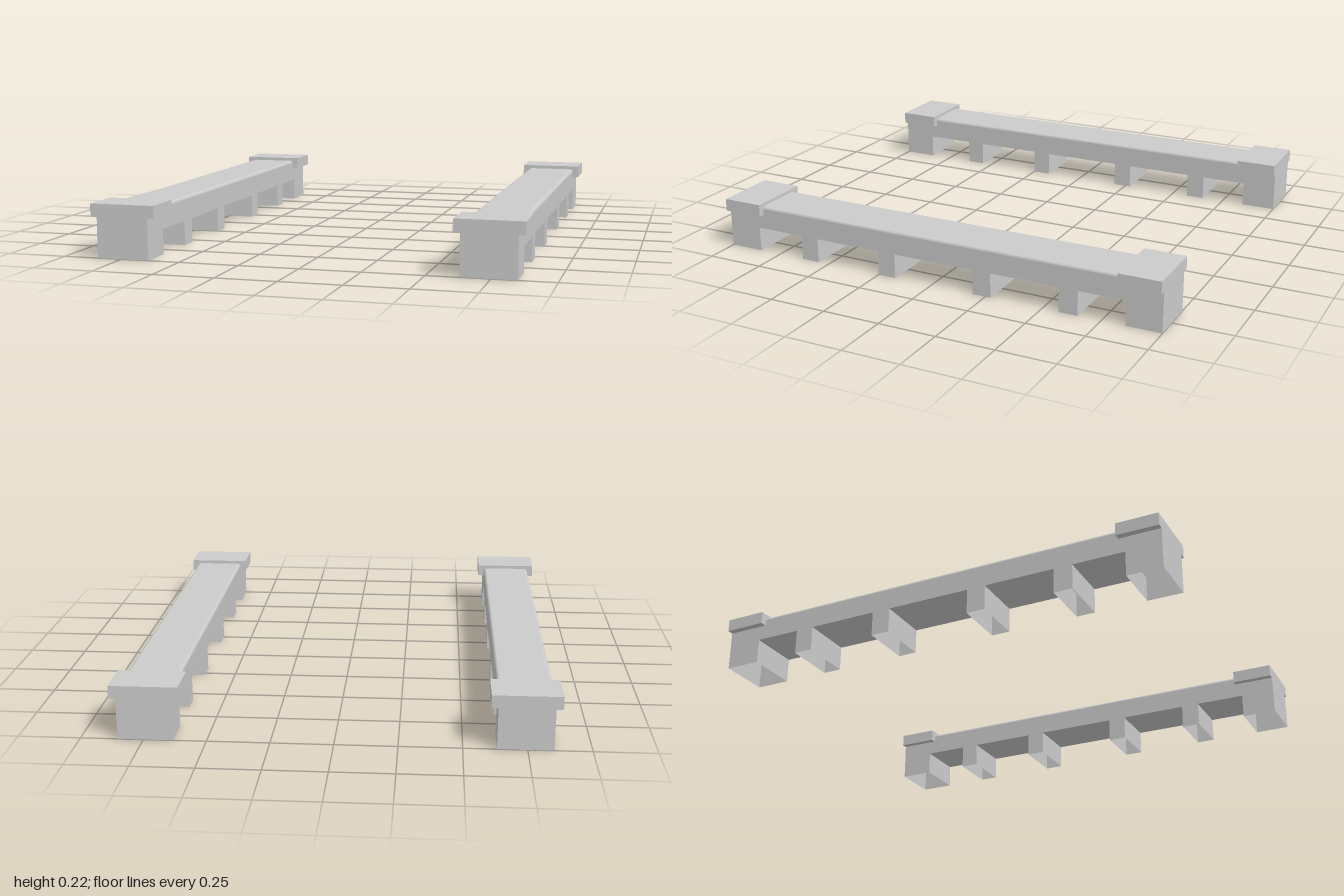
import * as THREE from 'three';

const grey = new THREE.MeshStandardMaterial({ color: 0xcccccc });
const shellGrey = new THREE.MeshStandardMaterial({ color: 0xcccccc, side: THREE.DoubleSide });

const HALF = 0.11;     // half width of the beam
const UNDER = 0.105;   // height of the beam's underside
const TOP = 0.207;     // height of the beam's top
const ROUND = 0.014;   // radius of its upper edges

function add(parent, name, geometry, material, x, y, z) {
  const mesh = new THREE.Mesh(geometry, material);
  mesh.name = name;
  mesh.position.set(x, y, z);
  parent.add(mesh);
  return mesh;
}

// Box walls without top and bottom
function openBox(w, h, d) {
  const box = new THREE.BoxGeometry(w, h, d);
  const index = Array.from(box.index.array);
  box.setIndex([...index.slice(0, 12), ...index.slice(24, 36)]);
  box.clearGroups();
  return box;
}

// Outline of the beam: upright sides, rounded upper edges; smooth normals per point
function beamOutline() {
  const points = [[HALF, UNDER, 0]];
  for (const [cx, start] of [[HALF - ROUND, 0], [ROUND - HALF, Math.PI / 2]]) {
    for (let i = 0; i <= 6; i++) {
      const a = start + (i / 6) * Math.PI / 2;
      points.push([cx + ROUND * Math.cos(a), TOP - ROUND + ROUND * Math.sin(a), a]);
    }
  }
  points.push([-HALF, UNDER, Math.PI]);
  return points;
}

// Sweep the outline along z, leaving the underside open
function beamShell(outline) {
  const pos = [], nor = [], idx = [];
  outline.forEach(([x, y, a], i) => {
    for (const z of [1, -1]) {
      pos.push(x, y, z);
      nor.push(Math.cos(a), Math.sin(a), 0);
    }
    if (i > 0) {
      const k = 2 * i;
      idx.push(k - 2, k - 1, k, k, k - 1, k + 1);
    }
  });
  const g = new THREE.BufferGeometry();
  g.setAttribute('position', new THREE.Float32BufferAttribute(pos, 3));
  g.setAttribute('normal', new THREE.Float32BufferAttribute(nor, 3));
  g.setIndex(idx);
  return g;
}

function createRail(name, x) {
  const rail = new THREE.Group();
  rail.name = name;
  rail.position.x = x;

  const outline = beamOutline();
  add(rail, 'beam', beamShell(outline), shellGrey, 0, 0, 0);

  // End walls and overhanging end caps
  const endShape = new THREE.Shape(outline.map(([px, py]) => new THREE.Vector2(px, py)));
  for (const s of [1, -1]) {
    const wall = add(rail, 'endWall', new THREE.ShapeGeometry(endShape), shellGrey, 0, 0, s);
    if (s < 0) wall.rotation.y = Math.PI;
    add(rail, 'endCap', new THREE.BoxGeometry(0.275, 0.053, 0.177), grey, 0, 0.1955, s * 0.9115);
  }

  // Hollow feet [front z, back z], open below; end posts first and last
  const feet = [[1, 0.85], [0.63, 0.55], [0.25, 0.17], [-0.193, -0.273], [-0.572, -0.652], [-0.85, -1]];
  feet.forEach(([z0, z1], i) => {
    const isPost = i === 0 || i === feet.length - 1;
    add(rail, isPost ? 'endPost' : 'foot', openBox(2 * HALF, UNDER, z0 - z1), shellGrey,
      0, UNDER / 2, (z0 + z1) / 2);

    // Underside of the beam up to the next foot
    if (i < feet.length - 1) {
      const next = feet[i + 1][0];
      const soffit = add(rail, 'underside', new THREE.PlaneGeometry(2 * HALF, z1 - next), shellGrey,
        0, UNDER, (z1 + next) / 2);
      soffit.rotation.x = Math.PI / 2;
    }
  });
  return rail;
}

export function createModel() {
  const model = new THREE.Group();
  model.name = 'railPair';
  model.add(createRail('leftRail', 0.742), createRail('rightRail', -0.742));
  return model;
}
